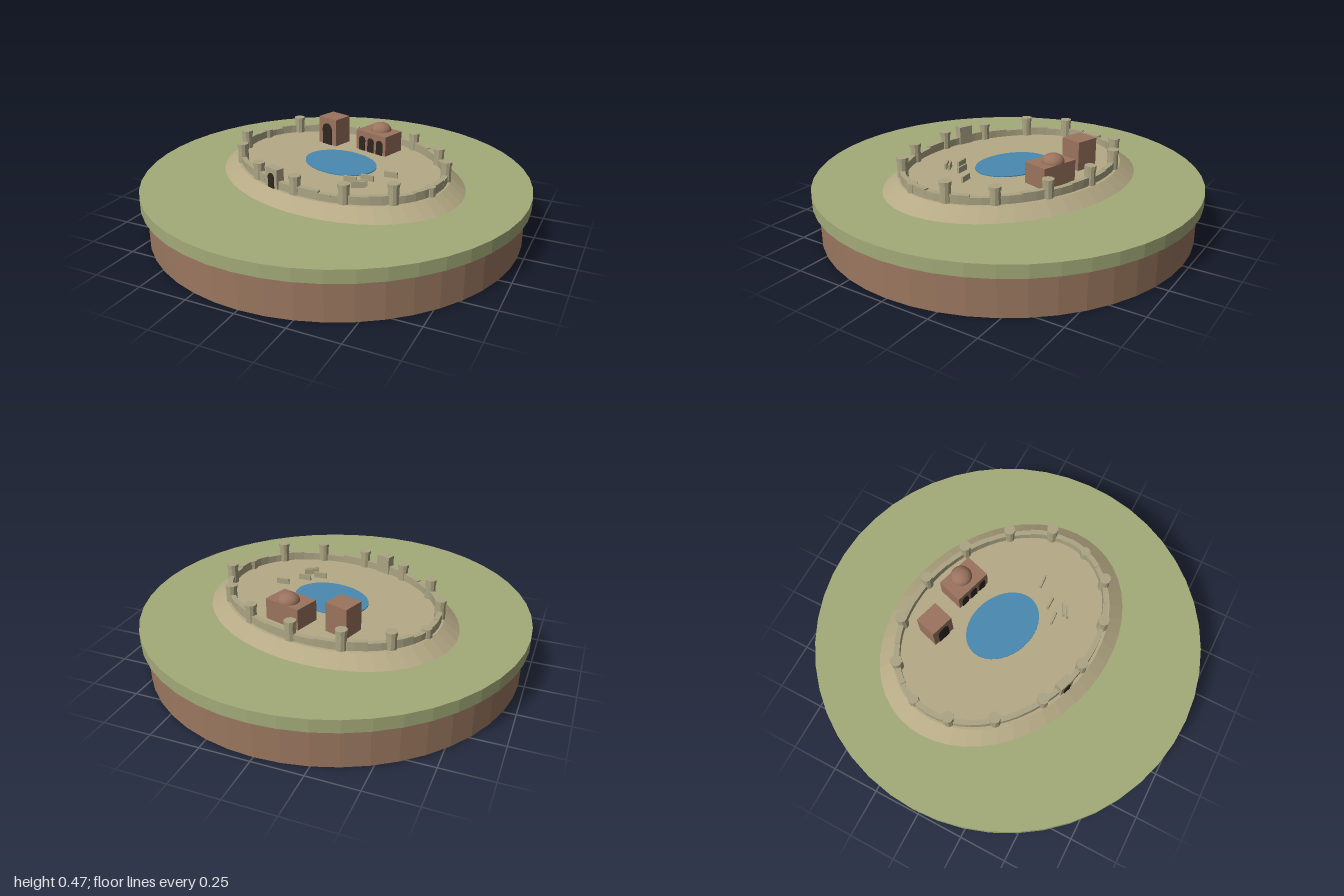
import * as THREE from 'three';

const mat = (name, color) => new THREE.MeshStandardMaterial({ name, color });

export function createModel() {
  const earth = mat('earth brown', 0x9a775f);
  const grass = mat('grass green', 0xa3aa78);
  const sand = mat('sand', 0xb5a985);
  const stone = mat('wall stone', 0xaba483);
  const water = mat('water blue', 0x4a89b0);
  const clay = mat('clay brick', 0x9a735e);
  const dark = mat('dark opening', 0x30261f);

  const model = new THREE.Group();
  model.name = 'lakeRuins';

  const add = (parent, name, geo, material, x = 0, y = 0, z = 0, ry = 0) => {
    const mesh = new THREE.Mesh(geo, material);
    mesh.name = name;
    mesh.position.set(x, y, z);
    mesh.rotation.y = ry;
    parent.add(mesh);
    return mesh;
  };
  const faceted = (geo) => {
    const g = geo.toNonIndexed();
    g.computeVertexNormals();
    return g;
  };
  const drum = (rTop, rBottom, h, sides) =>
    faceted(new THREE.CylinderGeometry(rTop, rBottom, h, sides).translate(0, h / 2, 0));
  const block = (w, h, d) => new THREE.BoxGeometry(w, h, d).translate(0, h / 2, 0);

  // Thin round-headed opening, standing on y = 0 and facing +z
  const arch = (w, h) => {
    const r = w / 2;
    const s = new THREE.Shape();
    s.moveTo(-r, 0);
    s.lineTo(r, 0);
    s.lineTo(r, h - r);
    s.absarc(0, h - r, r, 0, Math.PI, false);
    s.lineTo(-r, 0);
    return new THREE.ExtrudeGeometry(s, { depth: 0.004, bevelEnabled: false, curveSegments: 8 });
  };

  // Round ground plate
  add(model, 'earthBase', drum(0.97, 0.97, 0.2, 48), earth);
  add(model, 'grassPlate', drum(1, 1, 0.065, 48), grass, 0, 0.2, 0);

  // Everything on the hill shares the tilted oval frame
  const FLOOR = 0.32;
  const hill = new THREE.Group();
  hill.name = 'hill';
  hill.position.set(0.01, 0, -0.035);
  hill.rotation.y = -THREE.MathUtils.degToRad(20);
  model.add(hill);

  const mound = new THREE.CylinderGeometry(0.88, 1, 0.055, 48).scale(0.7, 1, 0.54);
  add(hill, 'mound', faceted(mound), sand, 0, 0.2925, 0);
  const pond = new THREE.CylinderGeometry(1, 1, 0.006, 40).scale(0.21, 1, 0.157);
  add(hill, 'pond', faceted(pond), water, 0, FLOOR + 0.002, 0);

  // Ring wall of short straight pieces, with some worn lower
  const A = 0.593, B = 0.447, TOWERS = 14, PIECES = TOWERS * 4;
  const onWall = (t) => [A * Math.cos(t), B * Math.sin(t)];
  for (let i = 0; i < PIECES; i++) {
    const [x0, z0] = onWall((i / PIECES) * Math.PI * 2);
    const [x1, z1] = onWall(((i + 1) / PIECES) * Math.PI * 2);
    const length = Math.hypot(x1 - x0, z1 - z0) + 0.006;
    const height = [0.043, 0.038, 0.045, 0.04, 0.034][(i >> 1) % 5];
    add(hill, 'wallPiece', block(length, height, 0.026), stone,
      (x0 + x1) / 2, FLOOR, (z0 + z1) / 2, -Math.atan2(z1 - z0, x1 - x0));
  }

  // Towers, two of them reduced to stumps
  for (let k = 0; k < TOWERS; k++) {
    const [x, z] = onWall((k / TOWERS) * Math.PI * 2);
    const ruined = k % 7 === 0;
    const height = ruined ? 0.045 : 0.084 + 0.005 * ((k * 3) % 4);
    add(hill, ruined ? 'towerStump' : 'tower', drum(0.026, 0.028, height, 10), stone, x, FLOOR, z);
    if (!ruined) add(hill, 'towerCap', drum(0.03, 0.03, 0.018, 10), stone, x, FLOOR + height - 0.015, z);
  }

  // Gatehouse in the front wall
  const gate = new THREE.Group();
  gate.name = 'gatehouse';
  gate.position.set(0, FLOOR, B);
  hill.add(gate);
  add(gate, 'gateBlock', block(0.08, 0.098, 0.045), stone);
  add(gate, 'gateOpening', arch(0.042, 0.075), dark, 0, 0, 0.0225);

  // Tall hall with one great arch
  const turn = -THREE.MathUtils.degToRad(17);
  const hall = new THREE.Group();
  hall.name = 'tallHall';
  hall.position.set(-0.165, FLOOR, -0.325);
  hall.rotation.y = turn;
  model.add(hall);
  add(hall, 'hallBlock', block(0.125, 0.15, 0.115), clay);
  add(hall, 'hallArch', arch(0.066, 0.12), dark, 0, 0, 0.0575);

  // Domed house with three arches
  const house = new THREE.Group();
  house.name = 'domedHouse';
  house.position.set(0.11, FLOOR, -0.312);
  house.rotation.y = turn;
  model.add(house);
  add(house, 'houseBlock', block(0.202, 0.108, 0.137), clay);
  const dome = new THREE.SphereGeometry(0.056, 24, 10, 0, Math.PI * 2, 0, Math.PI / 2);
  add(house, 'dome', dome.scale(1, 0.75, 1), clay, 0, 0.108, -0.018);
  for (const x of [-0.06, 0, 0.06]) {
    add(house, 'houseArch', arch(0.042, 0.08), dark, x, 0, 0.0685);
  }

  // Fallen wall remains beside the pond: x, z, turn in degrees
  const remains = [[0.32, 0.04, 5], [0.23, 0.128, 0], [0.162, 0.18, 4], [0.228, 0.205, 27], [0.226, 0.227, 27]];
  for (const [x, z, deg] of remains) {
    add(model, 'wallRemain', block(0.068, 0.03, 0.011), stone, x, FLOOR, z, THREE.MathUtils.degToRad(deg));
  }

  return model;
}
